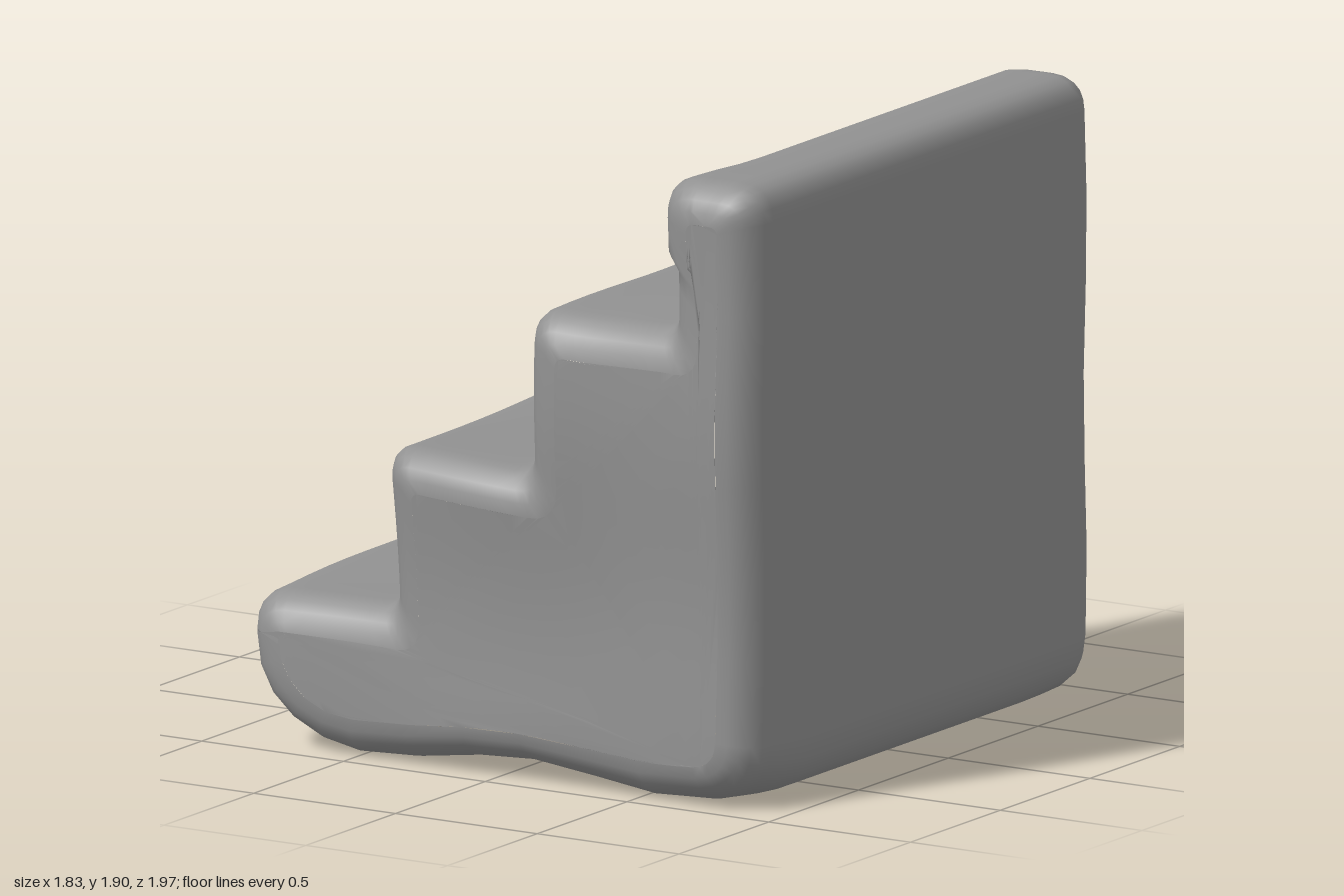
import * as THREE from 'three';

// Side profile corners, counter-clockwise: x, y, corner radius
const CORNERS = [
  [0.92, 0.01, 0.18], [0.92, 1.915, 0.11], [0.595, 1.915, 0.12], [0.608, 1.45, 0.05],
  [0.1, 1.468, 0.1], [0.105, 0.96, 0.07], [-0.43, 0.985, 0.1], [-0.4, 0.49, 0.05],
  [-0.9, 0.5, 0.12], [-0.885, 0.01, 0.35],
];
const ARC = 5, STRAIGHT = 6, BEVEL = 0.12, END = 0.965;

// Rounded profile, shrunk inwards by the given inset
function profile(inset) {
  const n = CORNERS.length;
  const pts = CORNERS.map(([x, y]) => new THREE.Vector2(x, y));
  const dir = pts.map((p, i) => pts[(i + 1) % n].clone().sub(p).normalize());
  const arcs = pts.map((p, i) => {
    const d0 = dir[(i + n - 1) % n], d1 = dir[i];
    const turn = d0.cross(d1);
    const c = p.clone().addScaledVector(d1, inset / turn).addScaledVector(d0, -inset / turn);
    const r = turn > 0 ? Math.max(0.035, CORNERS[i][2] - inset * 0.8) : CORNERS[i][2] + inset * 0.3;
    return new THREE.QuadraticBezierCurve(
      c.clone().addScaledVector(d0, -r), c, c.clone().addScaledVector(d1, r)).getPoints(ARC);
  });
  const out = [];
  arcs.forEach((arc, i) => {
    out.push(...arc);
    const a = arc[ARC], b = arcs[(i + 1) % n][0];
    for (let k = 1; k < STRAIGHT; k++) out.push(a.clone().lerp(b, k / STRAIGHT));
  });
  return out;
}

// Round bump of height 1 at (cx, cy)
const bump = (x, y, cx, cy, size) => Math.exp(-((x - cx) ** 2 + (y - cy) ** 2) / (size * size));

// Gentle unevenness of the worn surface; the tall wall stays flat
function wobble(x, y, z) {
  const { clamp, smoothstep } = THREE.MathUtils;
  const low = clamp((0.1 - x) / 0.8, 0, 1);
  const treads = clamp((0.6 - x) / 0.3, 0, 1) * smoothstep(y, 0.2, 0.45);
  const ends = smoothstep(Math.abs(z), 0.6, 0.9);

  // Lower steps bulge outwards at the back, the wall top overhangs at the front
  let px = x + low * (0.018 * z + 0.006 * Math.sin(8 * z));
  if (y > 1.65 && x < 0.75) px -= 0.035 * smoothstep(z, 0.55, 0.85);

  // Treads tilt up towards the back, the underside lifts at both ends
  let py = y - treads * (0.016 * z + 0.005 * Math.sin(6 * z + 4 * x));
  if (y < 0.3) py += ends * (0.3 - y) * 0.1 * (1 + Math.sin(6 * x + 1.5 * z));

  // End faces ripple and sink in below the steps
  const hollow = (z < 0 ? 0.035 : 0.015) * bump(x, y, -0.05, 0.45, 0.4);
  const ripple = 0.012 * (Math.sin(7 * x + 2) + 0.8 * Math.sin(6 * y + z));
  return [px, Math.max(0, py), z * (1 + ripple - hollow)];
}

// Splits each triangle into four, sharing the edge midpoints
function subdivide(points, triangles) {
  const cache = new Map();
  const middle = (a, b) => {
    const key = Math.min(a, b) + '_' + Math.max(a, b);
    if (!cache.has(key)) {
      cache.set(key, points.length);
      points.push(points[a].clone().lerp(points[b], 0.5));
    }
    return cache.get(key);
  };
  return triangles.flatMap(([a, b, c]) => {
    const ab = middle(a, b), bc = middle(b, c), ca = middle(c, a);
    return [[a, ab, ca], [ab, b, bc], [ca, bc, c], [ab, bc, ca]];
  });
}

function blockGeometry() {
  // Sections along z, rounded off at both ends
  const sections = [];
  for (let k = 0; k <= 5; k++) {
    const a = (k / 5) * Math.PI / 2;
    sections.push([-END + BEVEL * (1 - Math.cos(a)), BEVEL * (1 - Math.sin(a))]);
  }
  // The first section is the flat end; mirror the list for the front
  const far = sections.map(([z, d]) => [-z, d]).reverse();
  for (let k = 1; k < 16; k++) sections.push([(END - BEVEL) * (k / 8 - 1), 0]);
  sections.push(...far);

  const points = [], triangles = [];
  const addSection = ([z, inset]) => {
    const ring = profile(inset);
    ring.forEach((p) => points.push(new THREE.Vector3(p.x, p.y, z)));
    return ring.length;
  };
  let count = 0;
  sections.forEach((s) => { count = addSection(s); });
  for (let i = 0; i < sections.length - 1; i++) {
    for (let j = 0; j < count; j++) {
      const a = i * count + j, b = i * count + (j + 1) % count;
      triangles.push([a, b, b + count], [a, b + count, a + count]);
    }
  }

  // End faces
  let caps = [];
  const faces = THREE.ShapeUtils.triangulateShape(profile(BEVEL), []);
  const last = (sections.length - 1) * count;
  faces.forEach(([a, b, c]) => caps.push([a, c, b], [last + a, last + b, last + c]));
  for (let k = 0; k < 3; k++) caps = subdivide(points, caps);

  const geometry = new THREE.BufferGeometry();
  const positions = points.flatMap((p) => wobble(p.x, p.y, p.z));
  geometry.setAttribute('position', new THREE.Float32BufferAttribute(positions, 3));
  geometry.setIndex([...triangles, ...caps].flat());
  geometry.computeVertexNormals();
  return geometry;
}

export function createModel() {
  const group = new THREE.Group();
  group.name = 'stairs';
  const stone = new THREE.MeshStandardMaterial({ color: 0x919191 });
  stone.name = 'grey stone';
  const block = new THREE.Mesh(blockGeometry(), stone);
  block.name = 'stairBlock';
  group.add(block);
  return group;
}
